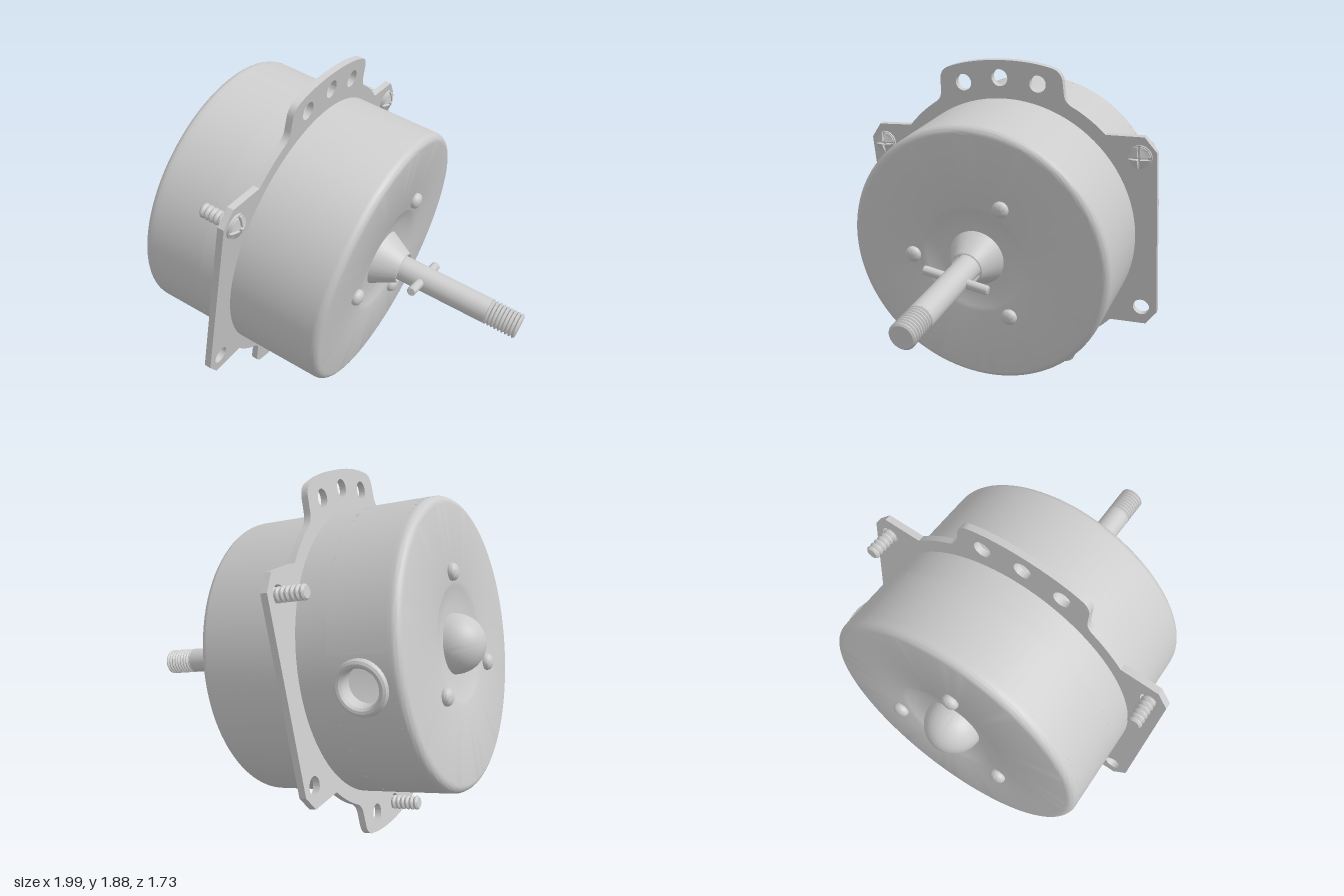
import * as THREE from 'three';
import { toCreasedNormals } from 'three/addons/utils/BufferGeometryUtils.js';

const grey = new THREE.MeshStandardMaterial({ color: 0xcccccc, side: THREE.DoubleSide });
const V = (x, y) => new THREE.Vector2(x, y);
const R = 0.745;          // housing radius
const HALF = 0.537;       // half length of the housing
const PLATE = 0.036;      // flange thickness

function add(parent, geometry, name) {
  const mesh = new THREE.Mesh(geometry, grey);
  mesh.name = name;
  parent.add(mesh);
  return mesh;
}

// Revolve [radius, position along axis] pairs about the motor axis (local x)
function turned(parent, name, profile, segments = 32, start = 0, sweep = Math.PI * 2) {
  const lathe = new THREE.LatheGeometry(profile.map(p => V(p[0], p[1])), segments, start, sweep);
  const mesh = add(parent, toCreasedNormals(lathe, 0.45), name);
  mesh.rotation.z = -Math.PI / 2;
  return mesh;
}

// Quarter-round of n steps; the callback turns an angle into a profile point
const arc = (n, f) => Array.from({ length: n + 1 }, (_, i) => f(i / n * Math.PI / 2));

// Sawtooth thread rings from a to b
function thread(a, b, count, crest, root) {
  const points = [], pitch = (b - a) / count;
  for (let i = 0; i < count; i++) {
    points.push([root, a + i * pitch], [crest, a + (i + 0.35) * pitch], [crest, a + (i + 0.6) * pitch]);
  }
  return [[0, a], ...points, [root, b], [0, b]];
}

// Square patch of the cylindrical wall with a round hole in it
function holePatch(centre, half, hole) {
  const g = new THREE.PlaneGeometry(1, 1, 64, 4);
  const p = g.attributes.position;
  for (let i = 0; i < p.count; i++) {
    const a = (p.getX(i) + 0.5) * Math.PI * 2, t = p.getY(i) + 0.5;
    const c = Math.cos(a), s = Math.sin(a);
    const square = half / Math.max(Math.abs(c), Math.abs(s));
    const r = hole + (square - hole) * t;
    const phi = Math.PI + r * c / R;
    p.setXYZ(i, R * Math.sin(phi), centre + r * s, R * Math.cos(phi));
  }
  // turn the faces outward, then use the exact radial normals
  const index = g.index.array;
  const A = new THREE.Vector3().fromBufferAttribute(p, index[0]);
  const B = new THREE.Vector3().fromBufferAttribute(p, index[1]);
  const C = new THREE.Vector3().fromBufferAttribute(p, index[2]);
  if (B.sub(A).cross(C.sub(A)).z > 0) index.reverse();
  for (let i = 0; i < p.count; i++) g.attributes.normal.setXYZ(i, p.getX(i) / R, 0, p.getZ(i) / R);
  return g;
}

// Flange outline: one quarter, mirrored to all four
function flangeGeometry() {
  const path = new THREE.Path();
  path.moveTo(0, 0.957);
  path.quadraticCurveTo(0.18, 0.957, 0.31, 0.915);
  path.quadraticCurveTo(0.355, 0.9, 0.362, 0.85);
  path.lineTo(0.366, 0.775);
  path.quadraticCurveTo(0.37, 0.735, 0.405, 0.713);
  path.quadraticCurveTo(0.505, 0.656, 0.59, 0.566);
  path.lineTo(0.8, 0.563);
  path.lineTo(0.865, 0.48);
  const q = path.getPoints(8);
  const mirror = (sx, sy) => q.map(p => V(p.x * sx, p.y * sy));
  const outline = [...q, ...mirror(1, -1).reverse(), ...mirror(-1, -1).slice(1), ...mirror(-1, 1).reverse().slice(0, -1)];
  const shape = new THREE.Shape(outline);
  const hole = (x, y, r) => shape.holes.push(new THREE.Path().absarc(x, y, r, 0, Math.PI * 2, true));
  hole(0, 0, R - 0.01);
  for (const y of [0.86, -0.875]) hole(0, y, 0.047);
  for (const x of [-1, 1]) {
    for (const y of [0.83, -0.84]) hole(x * 0.22, y, 0.047);
    for (const y of [0.453, -0.457]) hole(x * 0.775, y, 0.047);
  }
  const g = new THREE.ExtrudeGeometry(shape, { depth: PLATE, bevelEnabled: false, curveSegments: 24 });
  g.translate(0, 0, -PLATE / 2);
  g.rotateY(Math.PI / 2);
  return toCreasedNormals(g, 0.5);
}

// One quarter of a domed screw head, leaving a cross slot between quarters
function headQuarter(radius, slot, base, height) {
  const end = Math.sqrt(radius * radius - slot * slot), a0 = Math.asin(slot / radius);
  const points = [];
  for (let i = 0; i < 4; i++) points.push(V(slot + (end - slot) * i / 4, slot));
  for (let i = 0; i <= 8; i++) {
    const a = a0 + (Math.PI / 2 - 2 * a0) * i / 8;
    points.push(V(radius * Math.cos(a), radius * Math.sin(a)));
  }
  for (let i = 3; i > 0; i--) points.push(V(slot, slot + (end - slot) * i / 4));
  const g = new THREE.ExtrudeGeometry(new THREE.Shape(points), { depth: 1, bevelEnabled: false });
  const p = g.attributes.position;
  for (let i = 0; i < p.count; i++) {
    const k = (p.getX(i) ** 2 + p.getY(i) ** 2) / (radius * radius);
    p.setZ(i, base + (p.getZ(i) > 0.5 ? height * (1 - 0.65 * k) : 0));
  }
  g.rotateY(Math.PI / 2);
  return toCreasedNormals(g, 0.5);
}

function makeScrew() {
  const screw = new THREE.Group();
  screw.name = 'screw';
  turned(screw, 'screwThread', thread(-0.165, 0.018, 7, 0.038, 0.029), 20);
  turned(screw, 'screwWasher', [[0, 0.016], [0.066, 0.016], [0.066, 0.03], [0, 0.03]], 28);
  for (let i = 0; i < 4; i++) {
    add(screw, headQuarter(0.061, 0.007, 0.028, 0.03), 'screwHead').rotation.x = i * Math.PI / 2;
  }
  return screw;
}

export function createModel() {
  const model = new THREE.Group();
  model.name = 'electricMotor';
  const motor = new THREE.Group();
  motor.name = 'tiltedMotor';
  motor.position.set(-0.322, 0.948, 0);
  motor.rotation.z = -THREE.MathUtils.degToRad(11.6);
  model.add(motor);

  // Front housing: wall, rounded rim, dished face, conical hub
  const f = 0.042;
  turned(motor, 'frontHousing', [
    [R, 0],
    ...arc(8, a => [R - f + f * Math.cos(a), HALF - f + f * Math.sin(a)]),
    [0.315, HALF], [0.29, 0.528], [0.25, 0.514], [0.2, 0.505], [0.158, 0.502],
    [0.09, 0.634], [0.083, 0.638], [0.08, 0.56], [0.068, 0.56],
  ], 96);

  // Rear housing: domed bearing cap, dished face, rounded rim
  turned(motor, 'rearHousing', [
    ...arc(12, a => [0.155 * Math.sin(a), -0.5 - 0.16 * Math.cos(a)]),
    [0.2, -0.505], [0.25, -0.514], [0.29, -0.528], [0.315, -HALF],
    ...arc(8, a => [R - f + f * Math.sin(a), -HALF + f - f * Math.cos(a)]),
    [R, -0.48],
  ], 96);

  // Rear wall, with an opening for the cable grommet
  const centre = -0.33, half = 0.15, sweep = half / R;
  turned(motor, 'rearWall', [[R, centre - half], [R, centre + half]], 88,
    Math.PI + sweep, Math.PI * 2 - 2 * sweep);
  turned(motor, 'rearWallEdge', [[R, centre + half], [R, 0]], 96);
  add(motor, holePatch(centre, half, 0.1), 'cableOpening').rotation.z = -Math.PI / 2;

  // Cable grommet on the back side
  const grommet = turned(motor, 'cableGrommet', [
    [0.09, -0.06], [0.105, -0.06], [0.105, -0.02], [0.132, -0.02], [0.134, 0.005],
    [0.128, 0.018], [0.115, 0.025], [0.102, 0.022], [0.092, 0.01], [0.09, -0.06],
  ], 40);
  grommet.rotation.set(-Math.PI / 2, 0, 0);
  grommet.position.set(centre, 0, -R);

  // Mounting flange and its three screws
  add(motor, flangeGeometry(), 'mountingFlange');
  for (const [y, z] of [[0.453, 0.775], [0.453, -0.775], [-0.875, 0]]) {
    const screw = makeScrew();
    screw.position.set(0, y, z);
    motor.add(screw);
  }

  // Domed rivets, three on each face
  for (const side of [1, -1]) {
    for (let i = 0; i < 3; i++) {
      const a = (side > 0 ? 0 : Math.PI / 2) + i * Math.PI * 2 / 3;
      const rivet = turned(motor, side > 0 ? 'frontRivet' : 'rearRivet',
        [[0.04, -0.01], [0.045, 0.006], ...arc(6, t => [0.045 * Math.cos(t), 0.012 + 0.03 * Math.sin(t)])], 24);
      rivet.rotation.z = -side * Math.PI / 2;
      rivet.position.set(side * HALF, 0.365 * Math.sin(a), 0.365 * Math.cos(a));
    }
  }

  // Shaft with threaded end and cross pin
  turned(motor, 'shaft', [[0, 0.4], [0.07, 0.4], [0.07, 1.155], [0, 1.155]], 32);
  turned(motor, 'shaftThread', thread(1.15, 1.335, 9, 0.071, 0.06), 32);
  const pin = turned(motor, 'crossPin', [
    [0, -0.185], [0.019, -0.185], [0.025, -0.179], [0.025, 0.179], [0.019, 0.185], [0, 0.185],
  ], 20);
  pin.rotation.set(Math.PI / 2 - 0.2, 0, 0);
  pin.position.x = 0.765;

  return model;
}
